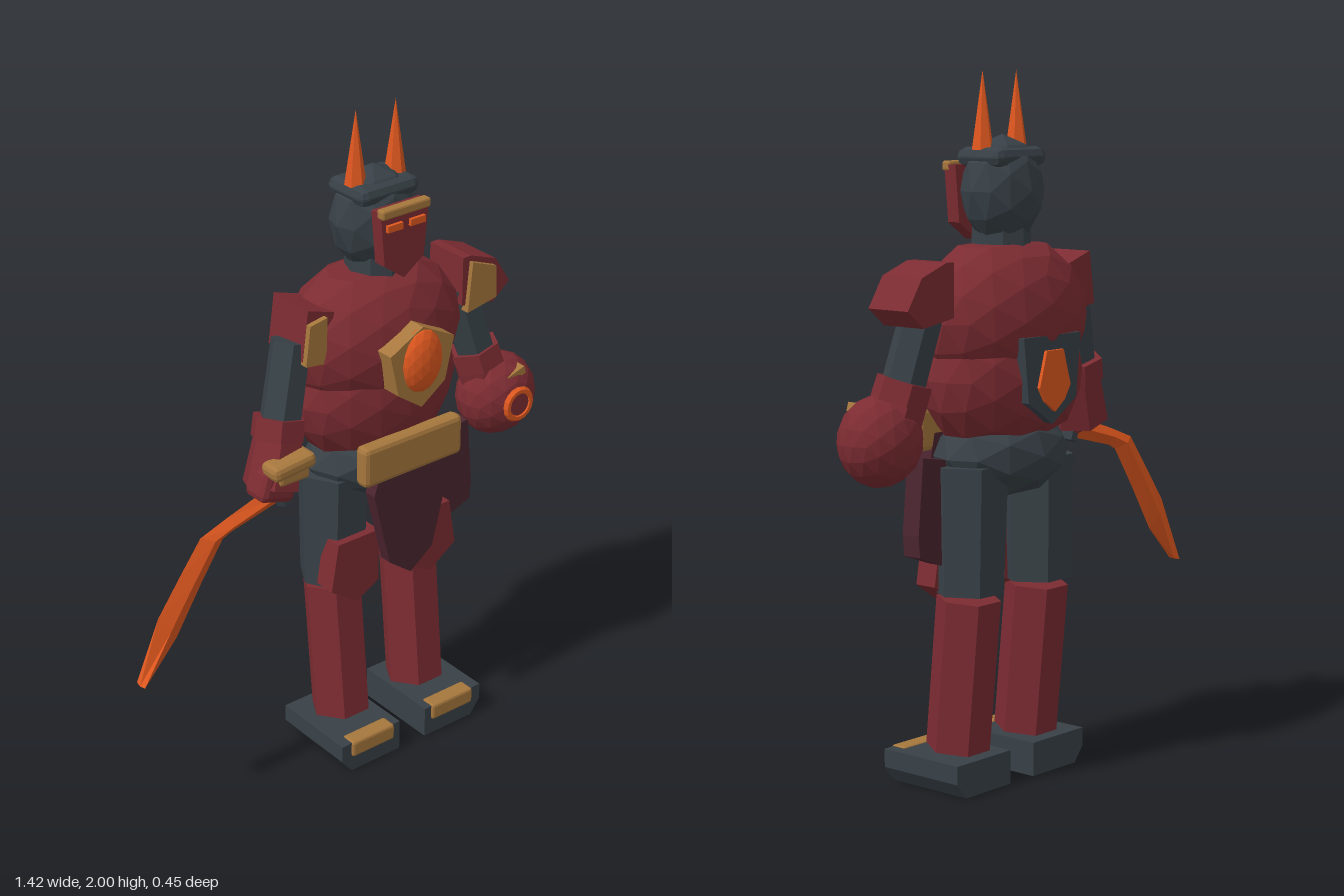
import * as THREE from 'three';
import { RoundedBoxGeometry } from 'three/addons/geometries/RoundedBoxGeometry.js';

const mat = (color) => new THREE.MeshStandardMaterial({ color, flatShading: true });
const RED = mat(0x7c2c32), DARK = mat(0x384147), GOLD = mat(0xa6773d);
const ORANGE = mat(0xe0581f), MAROON = mat(0x4c2530);
const C = 0.16; // body axis, offset because the blade reaches far to the right

export function createModel() {
  const root = new THREE.Group();

  const add = (name, geo, material, x = 0, y = 0, z = 0) => {
    const m = new THREE.Mesh(geo, material);
    m.name = name;
    m.position.set(x, y, z);
    root.add(m);
    return m;
  };
  // faceted ellipsoid, optionally cut flat above or below
  const blob = (name, material, p, r, detail, yMin = -9, yMax = 9) => {
    const g = new THREE.IcosahedronGeometry(1, detail).scale(...r).translate(...p);
    const pos = g.attributes.position;
    for (let i = 0; i < pos.count; i++) pos.setY(i, Math.min(yMax, Math.max(yMin, pos.getY(i))));
    return add(name, g, material);
  };
  // flat outline extruded from z0 to z1
  const plate = (name, material, pts, z0, z1) => {
    const shape = new THREE.Shape(pts.map(([x, y]) => new THREE.Vector2(x, y)));
    const g = new THREE.ExtrudeGeometry(shape, { depth: z1 - z0, bevelEnabled: false });
    return add(name, g, material, 0, 0, z0);
  };
  // tapered prism between two points
  const limb = (name, material, a, b, ra, rb, sides = 6) => {
    const A = new THREE.Vector3(...a), B = new THREE.Vector3(...b);
    const d = A.clone().sub(B);
    const g = new THREE.CylinderGeometry(ra, rb, d.length(), sides).rotateY(Math.PI / 6);
    const m = add(name, g, material);
    m.position.copy(A).add(B).multiplyScalar(0.5);
    m.quaternion.setFromUnitVectors(new THREE.Vector3(0, 1, 0), d.normalize());
    return m;
  };
  const box = (name, material, x0, x1, y0, y1, z0, z1, r = 0) => add(name,
    r ? new RoundedBoxGeometry(x1 - x0, y1 - y0, z1 - z0, 1, r) : new THREE.BoxGeometry(x1 - x0, y1 - y0, z1 - z0),
    material, (x0 + x1) / 2, (y0 + y1) / 2, (z0 + z1) / 2);

  // torso
  blob('chest', RED, [C, 1.32, -0.035], [0.29, 0.235, 0.19], 2, 1.1, 1.525);
  blob('abdomen', RED, [C, 1.16, -0.035], [0.275, 0.24, 0.18], 2, 1.0);
  blob('pelvis', DARK, [C, 0.94, -0.03], [0.225, 0.13, 0.16], 1);
  add('neck', new THREE.CylinderGeometry(0.08, 0.085, 0.1, 8), DARK, C, 1.53, -0.03);
  box('belt', GOLD, -0.02, 0.34, 0.94, 1.065, 0.115, 0.165, 0.015);
  plate('chestPlate', GOLD, [[C, 1.41], [0.275, 1.35], [0.245, 1.22], [C, 1.16], [0.075, 1.22], [0.045, 1.35]], 0.11, 0.19);
  blob('chestGem', ORANGE, [C, 1.305, 0.18], [0.073, 0.1, 0.042], 2);
  plate('backPlate', DARK, [[0.04, 1.28], [0.28, 1.28], [0.26, 1.1], [C, 1.035], [0.06, 1.1]], -0.218, -0.15);
  plate('backVent', ORANGE, [[0.125, 1.24], [0.195, 1.24], [0.225, 1.14], [0.2, 1.1], [C, 1.07], [0.12, 1.1], [0.095, 1.14]], -0.228, -0.2);

  // hanging skirt panels
  plate('frontSkirt', MAROON, [[0.05, 0.99], [0.28, 0.99], [0.3, 0.9], [0.24, 0.66], [C, 0.6], [0.08, 0.66], [0.02, 0.9]], 0.115, 0.155);
  plate('sideSkirt', MAROON, [[0.38, 0.94], [0.47, 0.955], [0.49, 0.74], [0.485, 0.68], [0.39, 0.645], [0.37, 0.75]], -0.02, 0.04);

  // head
  blob('helmet', DARK, [C, 1.67, -0.035], [0.13, 0.155, 0.108], 1);
  box('helmetBand', DARK, 0.055, 0.265, 1.735, 1.79, -0.115, 0.05, 0.025);
  plate('faceMask', RED, [[0.075, 1.74], [0.245, 1.74], [0.23, 1.58], [C, 1.53], [0.09, 1.58]], 0.063, 0.105);
  box('brow', GOLD, 0.075, 0.245, 1.722, 1.75, 0.085, 0.115, 0.006);

  // paired parts: s = -1 is the right side, s = 1 the left
  for (const s of [-1, 1]) {
    const side = s < 0 ? 'right' : 'left';
    const X = (d) => C + s * d; // distance out from the body axis
    const sidePlate = (name, material, pts, z0, z1) =>
      plate(side + name, material, pts.map(([d, y]) => [X(d), y]), z0, z1);

    add(side + 'Horn', new THREE.ConeGeometry(0.036, 0.25, 6), ORANGE, X(0.07), 1.875, -0.025);
    add(side + 'Eye', new THREE.BoxGeometry(0.053, 0.02, 0.015), ORANGE, X(0.04), 1.693, 0.108);

    limb(side + 'UpperArm', DARK, [X(0.3), 1.38, -0.02], [X(0.37), 1.12, 0.01], 0.06, 0.062);
    limb(side + 'Forearm', RED, [X(0.355), 1.15, 0.0], [X(0.415), 0.98, 0.03], 0.07, 0.085);
    limb(side + 'ElbowCuff', RED, [X(0.36), 1.17, 0.0], [X(0.375), 1.11, 0.01], 0.078, 0.08);

    limb(side + 'Thigh', DARK, [X(0.14), 0.92, -0.035], [X(0.145), 0.56, -0.035], 0.11, 0.1);
    sidePlate('KneePlate', RED, [[0.06, 0.73], [0.21, 0.73], [0.235, 0.58], [0.14, 0.515], [0.06, 0.56]], 0.01, 0.08);
    limb(side + 'Shin', RED, [X(0.145), 0.545, -0.035], [X(0.145), 0.11, 0.008], 0.092, 0.092);
    sidePlate('Foot', DARK, [[0.05, 0], [0.235, 0], [0.27, 0.045], [0.27, 0.098], [0.05, 0.098]], -0.105, 0.175);
    const toe = [X(0.075), X(0.235)].sort((a, b) => a - b);
    box(side + 'ToeCap', GOLD, toe[0], toe[1], 0.05, 0.102, 0.13, 0.183, 0.008);
  }

  // shoulder armour, larger on the left
  plate('leftShoulderPad', RED, [[0.43, 1.49], [0.46, 1.49], [0.555, 1.455], [0.61, 1.37], [0.55, 1.32], [0.43, 1.34]], -0.1, 0.045);
  plate('leftShoulderTrim', GOLD, [[0.455, 1.475], [0.545, 1.44], [0.55, 1.34], [0.44, 1.32]], 0.02, 0.06);
  plate('rightShoulderPad', RED, [[-0.13, 1.49], [-0.04, 1.46], [-0.05, 1.32], [-0.15, 1.34]], -0.11, 0.045);
  plate('rightShoulderTrim', GOLD, [[-0.135, 1.45], [-0.075, 1.46], [-0.08, 1.32], [-0.15, 1.33]], 0.02, 0.062);

  // left arm cannon
  blob('cannon', RED, [0.58, 1.01, 0.035], [0.128, 0.128, 0.108], 2);
  add('cannonRing', new THREE.TorusGeometry(0.044, 0.012, 6, 16), ORANGE, 0.58, 1.01, 0.137);
  add('cannonBore', new THREE.CylinderGeometry(0.036, 0.036, 0.03, 12).rotateX(Math.PI / 2), RED, 0.58, 1.01, 0.128);
  const sight = box('cannonSight', GOLD, 0.56, 0.625, 1.08, 1.105, 0.07, 0.115);
  sight.rotation.z = 0.3;

  // right hand with its guard and grip
  box('rightFist', RED, -0.32, -0.2, 0.95, 1.05, 0.0, 0.09, 0.02).rotation.z = -0.3;
  box('wristGuard', GOLD, -0.305, -0.16, 1.045, 1.09, 0.05, 0.125, 0.015).rotation.z = 0.1;
  box('wristGuardTab', GOLD, -0.275, -0.17, 1.01, 1.06, 0.06, 0.105, 0.01);
  limb('swordGrip', DARK, [-0.25, 1.02, 0.04], [-0.215, 0.92, 0.04], 0.025, 0.025);

  // curved blade: diamond cross-sections [outer x, y, inner x, y]
  const stations = [
    [-0.26, 0.985, -0.22, 0.93], [-0.41, 0.935, -0.40, 0.885], [-0.5, 0.9, -0.425, 0.87],
    [-0.57, 0.8, -0.5, 0.75], [-0.645, 0.69, -0.585, 0.605], [-0.712, 0.49, -0.705, 0.495],
  ];
  const verts = [], index = [];
  stations.forEach(([ax, ay, bx, by], i) => {
    const z = 0.04 - i * 0.004, mx = (ax + bx) / 2, my = (ay + by) / 2;
    verts.push(ax, ay, z, mx, my, z + 0.02, bx, by, z, mx, my, z - 0.02);
    if (!i) return;
    for (let k = 0; k < 4; k++) {
      const a = i * 4 - 4 + k, b = i * 4 - 4 + (k + 1) % 4;
      index.push(a, a + 4, b, b, a + 4, b + 4);
    }
  });
  const end = stations.length * 4 - 4;
  index.push(0, 1, 2, 0, 2, 3, end, end + 2, end + 1, end, end + 3, end + 2);
  const blade = new THREE.BufferGeometry();
  blade.setAttribute('position', new THREE.Float32BufferAttribute(verts, 3));
  blade.setIndex(index);
  blade.computeVertexNormals();
  const bladeMat = ORANGE.clone();
  bladeMat.side = THREE.DoubleSide;
  add('swordBlade', blade, bladeMat);

  return root;
}
